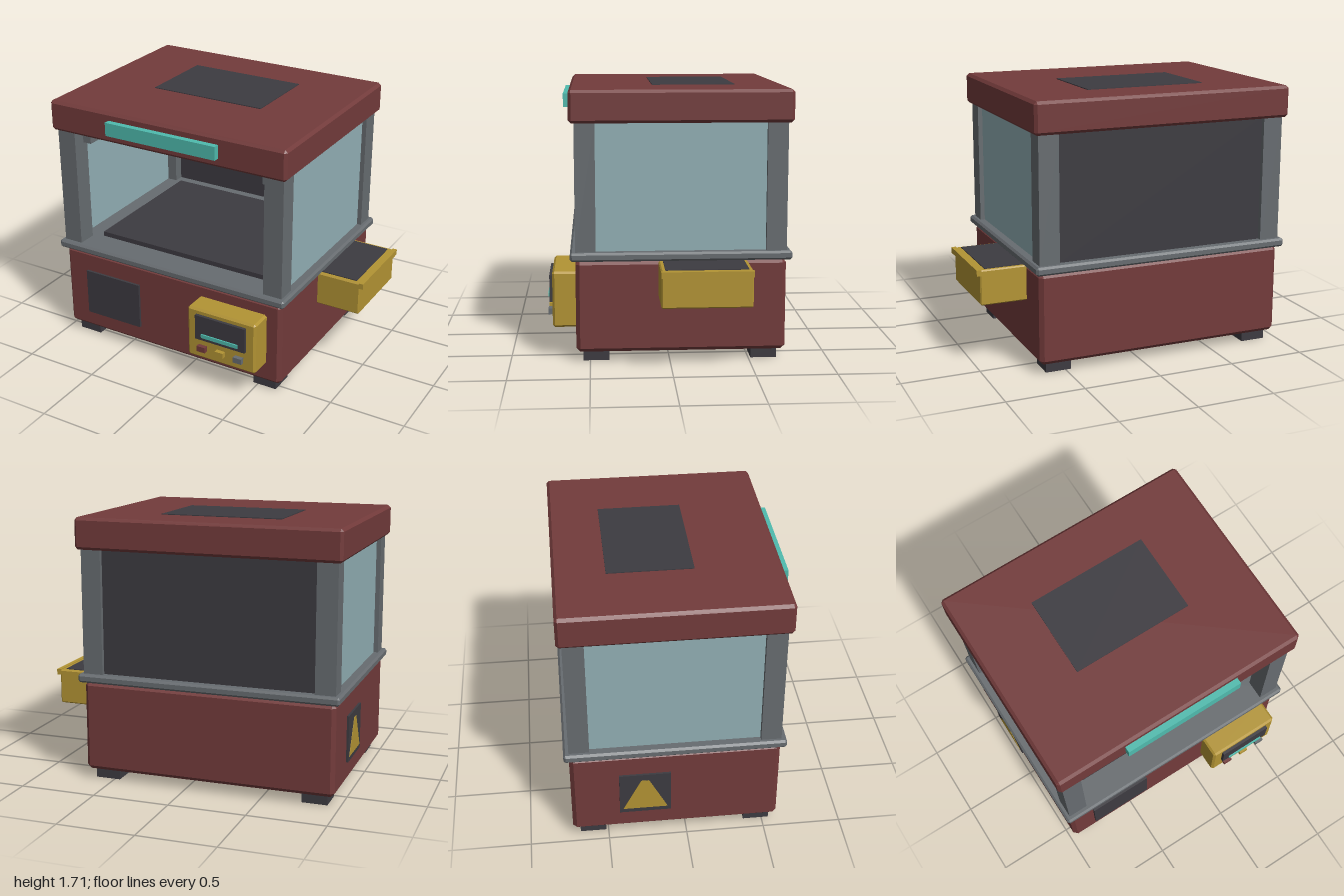
import * as THREE from 'three';
import { ConvexGeometry } from 'three/addons/geometries/ConvexGeometry.js';

const mat = (name, color) => {
  const m = new THREE.MeshStandardMaterial({ color });
  m.name = name;
  return m;
};

export function createModel() {
  const model = new THREE.Group();
  model.name = 'cabinetMachine';
  const red = mat('dull red', 0x733b3b);
  const steel = mat('steel grey', 0x676c70);
  const dark = mat('charcoal', 0x3d3b41);
  const gold = mat('mustard', 0xb39434);
  const teal = mat('teal', 0x4fbbae);
  const glass = mat('pale glass', 0x92b0b5);

  const add = (name, geometry, material, x = 0, y = 0, z = 0) => {
    const mesh = new THREE.Mesh(geometry, material);
    mesh.name = name;
    mesh.position.set(x, y, z);
    model.add(mesh);
    return mesh;
  };

  // Box with flat 45 degree chamfers on every edge
  const chamferBox = (w, h, d, b) => {
    const points = [];
    for (const sx of [-1, 1]) for (const sy of [-1, 1]) for (const sz of [-1, 1]) {
      for (let axis = 0; axis < 3; axis++) {
        const half = [w / 2, h / 2, d / 2].map((v, i) => (i === axis ? v : v - b));
        points.push(new THREE.Vector3(sx * half[0], sy * half[1], sz * half[2]));
      }
    }
    return new ConvexGeometry(points);
  };

  // Box given by its limits on each axis, with an optional chamfer
  const block = (name, material, [x0, x1], [y0, y1], [z0, z1], bevel = 0) => {
    const w = x1 - x0, h = y1 - y0, d = z1 - z0;
    const geometry = bevel ? chamferBox(w, h, d, bevel) : new THREE.BoxGeometry(w, h, d);
    return add(name, geometry, material, (x0 + x1) / 2, (y0 + y1) / 2, (z0 + z1) / 2);
  };

  // Main housing
  block('base', red, [-0.97, 0.68], [0.065, 0.65], [-0.727, 0.587], 0.025);
  block('deck', steel, [-1, 0.71], [0.65, 0.705], [-0.76, 0.62], 0.013);
  block('roof', red, [-1, 0.71], [1.503, 1.705], [-0.76, 0.62], 0.018);
  block('roofVent', dark, [-0.54, 0.25], [1.7, 1.71], [-0.44, 0.09]);
  block('roofLight', teal, [-0.54, 0.253], [1.565, 1.653], [0.61, 0.66]);

  // Feet and corner posts
  for (const [x0, x1] of [[-0.92, -0.755], [0.465, 0.63]]) {
    for (const [z0, z1] of [[0.38, 0.545], [-0.68, -0.515]]) {
      block('foot', dark, [x0, x1], [0, 0.07], [z0, z1]);
    }
  }
  for (const [x0, x1] of [[-0.97, -0.84], [0.55, 0.68]]) {
    for (const [z0, z1] of [[0.46, 0.587], [-0.727, -0.6]]) {
      block('post', steel, [x0, x1], [0.7, 1.508], [z0, z1]);
    }
  }

  // Chamber walls, open at the front
  block('backPanel', dark, [-0.84, 0.55], [0.7, 1.508], [-0.7, -0.67]);
  block('leftGlass', glass, [0.62, 0.65], [0.7, 1.508], [-0.6, 0.46]);
  block('rightGlass', glass, [-0.94, -0.91], [0.7, 1.508], [-0.6, 0.46]);

  // Work bed, rails and carriage
  block('bed', dark, [-0.77, 0.48], [0.7, 0.737], [-0.555, 0.425]);
  for (const [x0, x1] of [[-0.84, -0.78], [0.49, 0.55]]) {
    block('sideRail', steel, [x0, x1], [1.405, 1.478], [-0.64, 0.5]);
  }
  block('crossRail', steel, [-0.8, 0.51], [1.405, 1.476], [-0.105, -0.035]);
  block('carriage', gold, [-0.255, -0.035], [1.268, 1.412], [-0.16, 0.02], 0.012);
  add('toolHead', new THREE.CylinderGeometry(0.032, 0.032, 0.09, 12), dark, -0.145, 1.23, -0.07);

  // Control box with screen and buttons
  block('controlBox', gold, [0.087, 0.58], [0.203, 0.562], [0.57, 0.735], 0.014);
  block('screen', dark, [0.155, 0.515], [0.352, 0.525], [0.73, 0.755]);
  block('screenBar', teal, [0.203, 0.467], [0.375, 0.4], [0.75, 0.764]);
  [red, gold, steel].forEach((material, i) => {
    const x = 0.2 + i * 0.133;
    block('button', material, [x - 0.03, x + 0.03], [0.267, 0.305], [0.73, 0.764]);
  });
  block('frontHatch', dark, [-0.8, -0.377], [0.19, 0.51], [0.58, 0.603]);

  // Side tray
  block('tray', gold, [0.67, 0.978], [0.418, 0.645], [-0.483, 0.072], 0.008);
  block('trayInside', dark, [0.69, 0.943], [0.64, 0.65], [-0.458, 0.046]);
  block('trayLip', gold, [0.97, 1], [0.61, 0.648], [-0.485, 0.074]);

  // Side plate with a tapered marker
  block('sidePlate', dark, [-0.984, -0.96], [0.2, 0.5], [-0.425, -0.1]);
  const marker = new THREE.Shape();
  marker.moveTo(-0.14, 0);
  marker.lineTo(0.14, 0);
  marker.lineTo(0.025, 0.225);
  marker.lineTo(-0.025, 0.225);
  const markerMesh = add('sideMarker',
    new THREE.ExtrudeGeometry(marker, { depth: 0.004, bevelEnabled: false }),
    gold, -0.983, 0.23, -0.263);
  markerMesh.rotation.y = -Math.PI / 2;

  return model;
}
